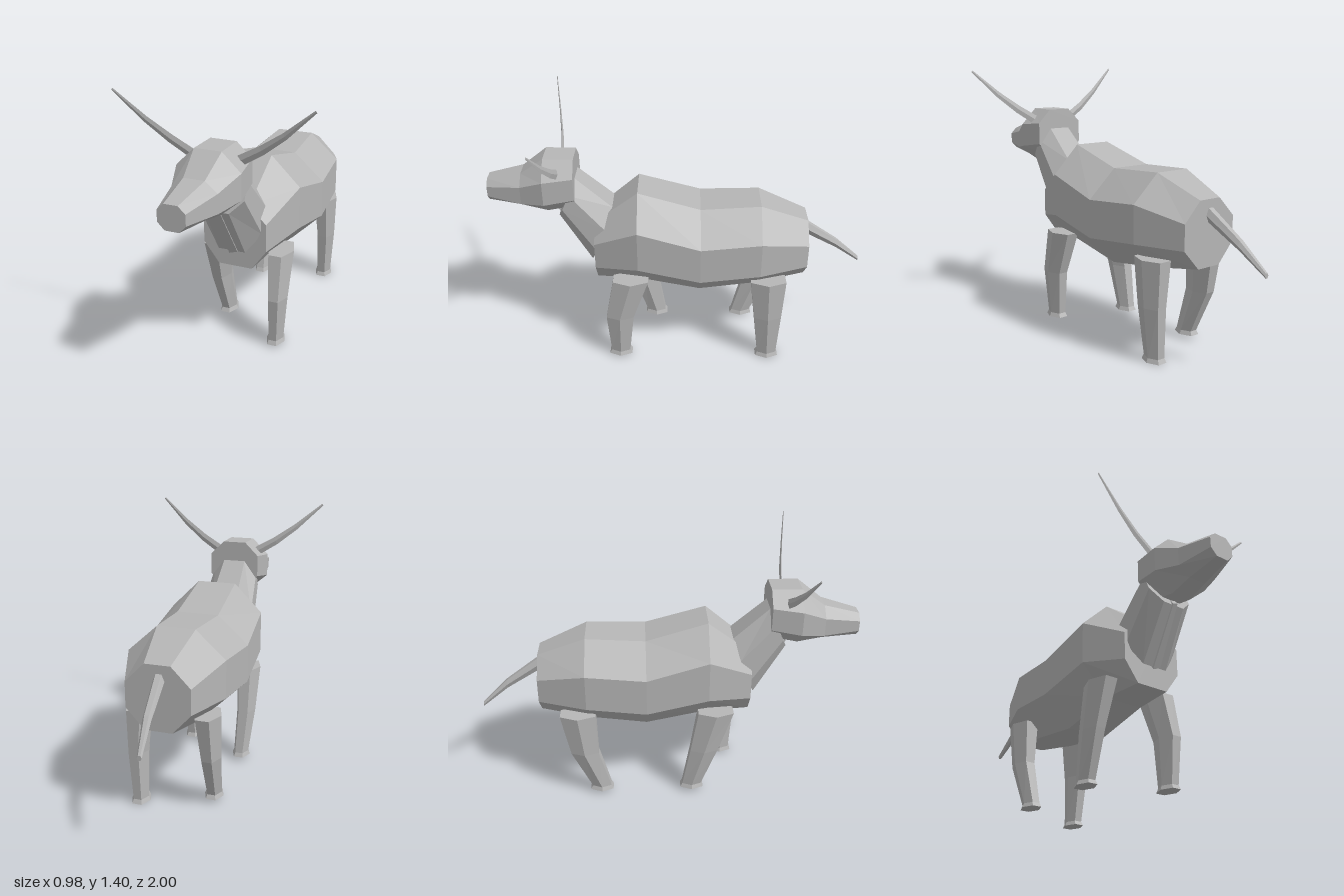
import * as THREE from 'three';

const hide = new THREE.MeshStandardMaterial({ color: 0xb6b6b6, flatShading: true });
hide.name = 'greyHide';

// Flat-faced skin over rings of [x, y, z] points, capped at both ends
function loft(name, rings) {
  const pos = [];
  const n = rings[0].length;
  const tri = (a, b, c) => pos.push(...a, ...b, ...c);
  for (let r = 0; r < rings.length - 1; r++) {
    for (let i = 0; i < n; i++) {
      const j = (i + 1) % n;
      const [p, q] = [rings[r], rings[r + 1]];
      tri(p[i], p[j], q[j]);
      tri(p[i], q[j], q[i]);
    }
  }
  const first = rings[0], last = rings[rings.length - 1];
  for (let i = 1; i < n - 1; i++) {
    tri(first[0], first[i + 1], first[i]);
    tri(last[0], last[i], last[i + 1]);
  }
  // Turn the faces outward if the enclosed volume is negative
  let volume = 0;
  const o = new THREE.Vector3(...first[0]);
  for (let k = 0; k < pos.length; k += 9) {
    const [a, b, c] = [0, 3, 6].map(s => new THREE.Vector3().fromArray(pos, k + s).sub(o));
    volume += a.dot(b.cross(c));
  }
  if (volume < 0) {
    for (let k = 0; k < pos.length; k += 9) {
      for (let s = 0; s < 3; s++) [pos[k + 3 + s], pos[k + 6 + s]] = [pos[k + 6 + s], pos[k + 3 + s]];
    }
  }
  const geo = new THREE.BufferGeometry();
  geo.setAttribute('position', new THREE.Float32BufferAttribute(pos, 3));
  geo.computeVertexNormals();
  const mesh = new THREE.Mesh(geo, hide);
  mesh.name = name;
  return mesh;
}

// Upright eight-sided ring: centre x, z, half widths at top/side/bottom, four heights
function octagon([cx, z, wTop, w, wBot, top, high, low, bot]) {
  return [
    [wTop, top], [w, high], [w, low], [wBot, bot],
    [-wBot, bot], [-w, low], [-w, high], [-wTop, top],
  ].map(([x, y]) => [cx + x, y, z]);
}

// Eight-sided ring tilted from a back/top point to a front/bottom point
function tiltedOctagon([zTop, yTop, zBot, yBot, w]) {
  const steps = [[0.48, 0], [1, 0.3], [1, 0.7], [0.48, 1], [-0.48, 1], [-1, 0.7], [-1, 0.3], [-0.48, 0]];
  return steps.map(([x, t]) => [x * w, yTop + (yBot - yTop) * t, zTop + (zBot - zTop) * t]);
}

// Six-sided horizontal ring for legs
function hexagon([x, y, z, rx, rz]) {
  return [[1, 0], [0.5, 1], [-0.5, 1], [-1, 0], [-0.5, -1], [0.5, -1]]
    .map(([a, b]) => [x + a * rx, y, z + b * rz]);
}

export function createModel() {
  const model = new THREE.Group();
  model.name = 'hornedAnimal';

  model.add(loft('body', [
    [0.005, 0.445, 0.08, 0.168, 0.09, 0.82, 0.73, 0.585, 0.477],
    [0.005, 0.215, 0.105, 0.258, 0.11, 1.005, 0.853, 0.63, 0.475],
    [0.005, -0.11, 0.112, 0.274, 0.115, 0.912, 0.765, 0.565, 0.41],
    [0.005, -0.425, 0.1, 0.255, 0.11, 0.925, 0.785, 0.59, 0.45],
    [0.003, -0.68, 0.066, 0.165, 0.07, 0.82, 0.72, 0.59, 0.487],
  ].map(octagon)));

  model.add(loft('neck', [
    [0.35, 0.9, 0.47, 0.575, 0.148],
    [0.535, 1.065, 0.63, 0.85, 0.13],
  ].map(tiltedOctagon)));

  // Thin fold of skin under the throat
  model.add(loft('throatFold', [
    [[-0.012, 0.56, 0.475], [0.032, 0.575, 0.475], [0.032, 0.64, 0.42], [-0.012, 0.64, 0.42]],
    [[-0.01, 0.85, 0.64], [0.018, 0.86, 0.64], [0.018, 0.92, 0.59], [-0.01, 0.92, 0.59]],
  ]));

  model.add(loft('head', [
    [-0.028, 1, 0.034, 0.068, 0.034, 1.033, 1.0, 0.945, 0.91],
    [-0.012, 0.815, 0.052, 0.113, 0.048, 1.08, 1.03, 0.935, 0.893],
    [-0.004, 0.69, 0.068, 0.16, 0.054, 1.175, 1.085, 0.957, 0.868],
    [0, 0.535, 0.066, 0.142, 0.055, 1.175, 1.1, 0.98, 0.9],
  ].map(octagon)));

  // Flat tapering horns, mirrored; columns: x, y, z, half width, half thickness
  for (const side of [1, -1]) {
    const rings = [
      [0.1, 1.105, 0.613, 0.026, 0.007],
      [0.225, 1.18, 0.626, 0.022, 0.006],
      [0.34, 1.265, 0.645, 0.016, 0.004],
      [0.487, 1.397, 0.672, 0.006, 0.002],
    ].map(([x, y, z, w, t]) => [
      [side * (x - 0.55 * w), y + 0.83 * w, z], [side * x, y, z + t],
      [side * (x + 0.55 * w), y - 0.83 * w, z], [side * x, y, z - t],
    ]);
    model.add(loft(side > 0 ? 'leftHorn' : 'rightHorn', rings));
  }

  // Tail; columns: x, y, z, half width, half height
  model.add(loft('tail', [
    [-0.002, 0.755, -0.66, 0.03, 0.036],
    [-0.018, 0.625, -0.86, 0.022, 0.024],
    [-0.038, 0.508, -0.998, 0.012, 0.012],
  ].map(([x, y, z, w, h]) => [
    [x + w, y, z], [x + w / 2, y + h, z], [x - w / 2, y + h, z],
    [x - w, y, z], [x - w / 2, y - h, z], [x + w / 2, y - h, z],
  ])));

  // Legs: x side, ground height and z at top, knee, foot
  const legs = [
    ['leftFrontLeg', 1, 0.012, 0.26, 0.325, 0.33],
    ['rightFrontLeg', -1, 0.022, 0.26, 0.2, 0.137],
    ['leftHindLeg', 1, 0, -0.477, -0.485, -0.495],
    ['rightHindLeg', -1, 0.022, -0.477, -0.45, -0.367],
  ];
  for (const [name, side, ground, zTop, zKnee, zFoot] of legs) {
    const shift = side > 0 ? 0.008 : 0;
    model.add(loft(name, [
      [side * 0.175 + shift, 0.52, zTop, 0.07, 0.094],
      [side * 0.183 + shift, 0.28, zKnee, 0.053, 0.074],
      [side * 0.174 + shift, ground + 0.022, zFoot, 0.042, 0.052],
      [side * 0.174 + shift, ground, zFoot, 0.051, 0.063],
    ].map(hexagon)));
  }
  return model;
}
